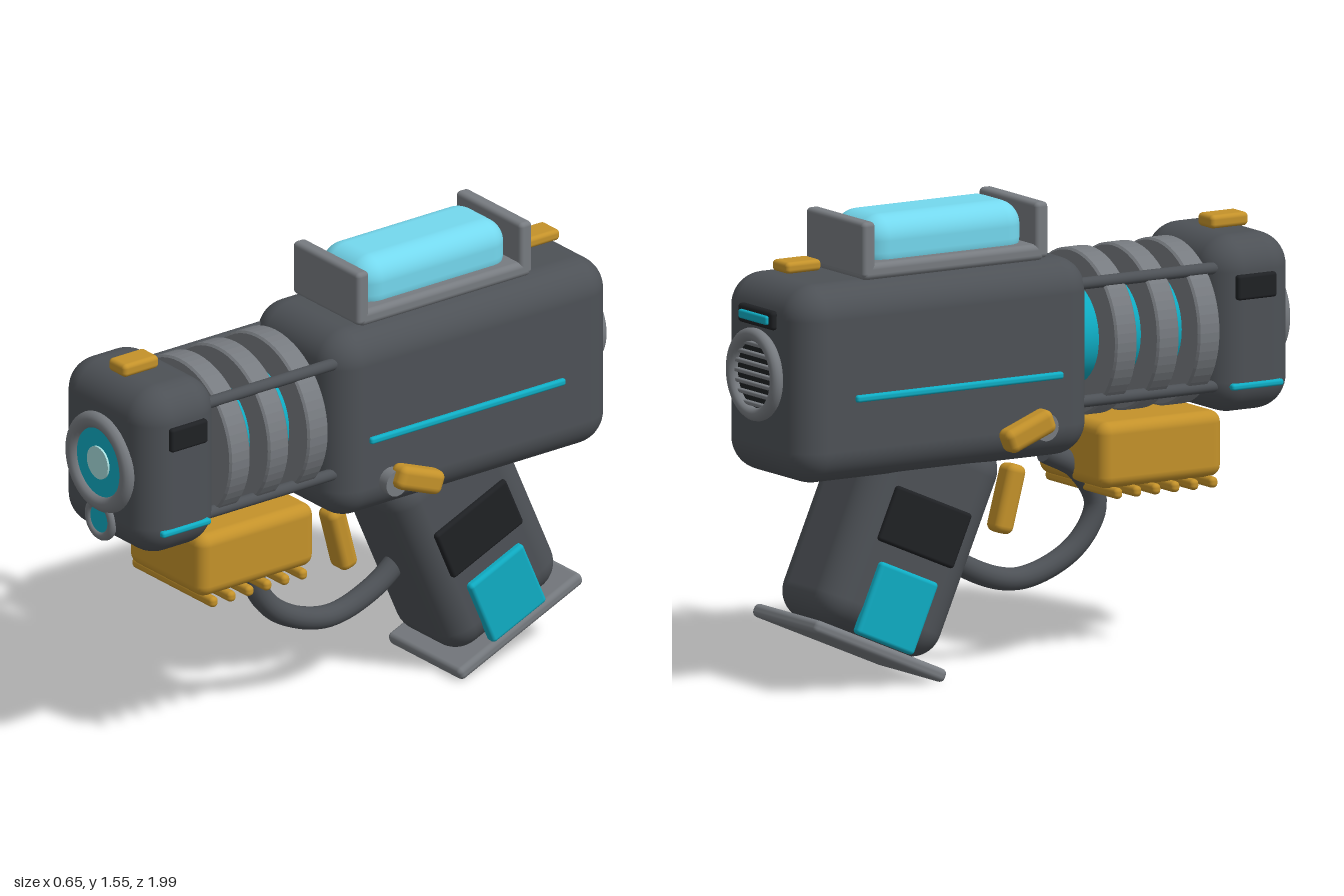
import * as THREE from 'three';
import { RoundedBoxGeometry } from 'three/addons/geometries/RoundedBoxGeometry.js';

const mat = (color) => new THREE.MeshStandardMaterial({ color });

export function createModel() {
  const model = new THREE.Group();
  const shell = mat(0x4d5156), metal = mat(0x777b80), black = mat(0x1f2124);
  const cyan = mat(0x0fadc4), gold = mat(0xc4922a), glass = mat(0x74d8ee), lens = mat(0xa8dede);

  const add = (name, geometry, material, x, y, z, parent = model) => {
    const mesh = new THREE.Mesh(geometry, material);
    mesh.name = name;
    mesh.position.set(x, y, z);
    parent.add(mesh);
    return mesh;
  };
  const box = (name, material, [w, h, d], r, [x, y, z], parent) =>
    add(name, new RoundedBoxGeometry(w, h, d, r > 0.04 ? 6 : 3, r), material, x, y, z, parent);
  // Cylinder lying along z
  const rod = (name, material, r, length, [x, y, z], parent) =>
    add(name, new THREE.CylinderGeometry(r, r, length, 40).rotateX(Math.PI / 2), material, x, y, z, parent);
  const ring = (name, R, tube, [x, y, z]) =>
    add(name, new THREE.TorusGeometry(R, tube, 14, 48), metal, x, y, z);

  // Main body and muzzle head
  box('body', shell, [0.49, 0.655, 1.15], 0.11, [0, 1.057, -0.38]);
  box('muzzleHead', shell, [0.49, 0.585, 0.32], 0.11, [0, 1.097, 0.812]);

  // Barrel: glowing core, cooling rings and four tie rods
  rod('barrelCore', cyan, 0.172, 0.6, [0, 1.097, 0.42]);
  const band = new THREE.LatheGeometry([
    [0.16, -0.042], [0.268, -0.042], [0.275, -0.035], [0.275, 0.035], [0.268, 0.042], [0.16, 0.042],
  ].map(([r, h]) => new THREE.Vector2(r, h)), 56).toNonIndexed().rotateX(Math.PI / 2);
  band.computeVertexNormals();
  const bandMetal = metal.clone();
  bandMetal.side = THREE.DoubleSide;
  for (const z of [0.61, 0.452, 0.29]) add('coolingRing', band, bandMetal, 0, 1.097, z);
  for (const sx of [-1, 1]) for (const sy of [-1, 1])
    rod('tieRod', shell, 0.02, 0.55, [sx * 0.19, 1.097 + sy * 0.195, 0.42]);

  // Muzzle lens and small lamp beneath it
  ring('muzzleRing', 0.144, 0.028, [0, 1.095, 0.972]);
  rod('muzzleGlow', cyan, 0.13, 0.03, [0, 1.095, 0.965]);
  rod('muzzleLens', lens, 0.056, 0.03, [0, 1.095, 0.972]);
  ring('lampRing', 0.06, 0.016, [0, 0.895, 0.972]);
  rod('lampGlow', cyan, 0.055, 0.03, [0, 0.895, 0.965]);

  // Sights
  box('frontSight', gold, [0.09, 0.045, 0.145], 0.015, [0, 1.41, 0.838]);
  box('rearSight', gold, [0.095, 0.038, 0.135], 0.014, [0, 1.423, -0.81]);

  // Top cradle and energy cell
  box('cradleBase', metal, [0.35, 0.055, 0.705], 0.02, [0, 1.407, -0.312]);
  for (const z of [0.028, -0.64]) box('cradleEnd', metal, [0.35, 0.185, 0.05], 0.015, [0, 1.48, z]);
  box('energyCell', glass, [0.27, 0.2, 0.615], 0.08, [0, 1.475, -0.307]);

  // Grip, leaning back
  const grip = new THREE.Group();
  grip.name = 'grip';
  grip.position.set(0, 0.51, -0.45);
  grip.rotation.x = 0.41;
  model.add(grip);
  box('gripBody', shell, [0.36, 0.74, 0.5], 0.1, [0, 0, 0], grip);
  box('gripBasePlate', metal, [0.39, 0.045, 0.55], 0.018, [0, -0.39, 0], grip);

  // Parts mirrored on both flanks
  for (const s of [-1, 1]) {
    box('sideStripe', cyan, [0.025, 0.024, 0.8], 0.009, [s * 0.246, 1.01, -0.34]);
    box('headStripe', cyan, [0.025, 0.022, 0.2], 0.009, [s * 0.242, 0.902, 0.812]);
    box('headVent', black, [0.04, 0.083, 0.15], 0.01, [s * 0.241, 1.23, 0.806]);
    box('gripPad', black, [0.04, 0.19, 0.315], 0.012, [s * 0.177, 0.04, 0], grip);
    box('gripPanel', cyan, [0.04, 0.25, 0.24], 0.014, [s * 0.184, -0.24, 0], grip);
    const pivot = rod('leverPivot', metal, 0.045, 0.08, [s * 0.245, 0.85, -0.025]);
    pivot.rotation.y = Math.PI / 2;
    const lever = box('lever', gold, [0.075, 0.082, 0.19], 0.025, [s * 0.288, 0.848, -0.103]);
    lever.rotation.x = -0.37;
  }

  // Fore grip with ribs underneath
  box('foreGrip', gold, [0.4, 0.22, 0.475], 0.04, [0, 0.71, 0.478]);
  for (let i = 0; i < 6; i++)
    box('foreGripRib', gold, [0.43, 0.036, 0.032], 0.014, [0, 0.587, 0.668 - i * 0.0735]);

  // Trigger and its guard
  const trigger = box('trigger', gold, [0.085, 0.23, 0.07], 0.025, [0, 0.57, 0]);
  trigger.rotation.x = 0.26;
  const guardPath = new THREE.CatmullRomCurve3([
    [0.71, 0.15], [0.64, 0.275], [0.52, 0.345], [0.385, 0.265], [0.3, 0.05], [0.355, -0.15], [0.49, -0.32],
  ].map(([y, z]) => new THREE.Vector3(0, y, z)));
  add('triggerGuard', new THREE.TubeGeometry(guardPath, 56, 0.038, 16), shell, 0, 0, 0);
  const cap = new THREE.CircleGeometry(0.038, 16);
  const start = add('triggerGuardEnd', cap, shell, 0, 0.71, 0.15);
  start.lookAt(guardPath.getPoint(0).sub(guardPath.getTangent(0)));

  // Rear exhaust grille and status light
  ring('exhaustRing', 0.132, 0.022, [0, 1.077, -0.973]);
  rod('exhaustBack', black, 0.13, 0.03, [0, 1.077, -0.95]);
  for (let i = -3; i <= 3; i++) {
    const y = i * 0.033;
    box('exhaustSlat', metal, [2 * Math.sqrt(0.128 ** 2 - y * y), 0.014, 0.02], 0.005, [0, 1.077 + y, -0.969]);
  }
  box('statusHousing', black, [0.21, 0.062, 0.04], 0.012, [0, 1.267, -0.953]);
  box('statusLight', cyan, [0.17, 0.03, 0.02], 0.008, [0, 1.267, -0.974]);

  return model;
}
